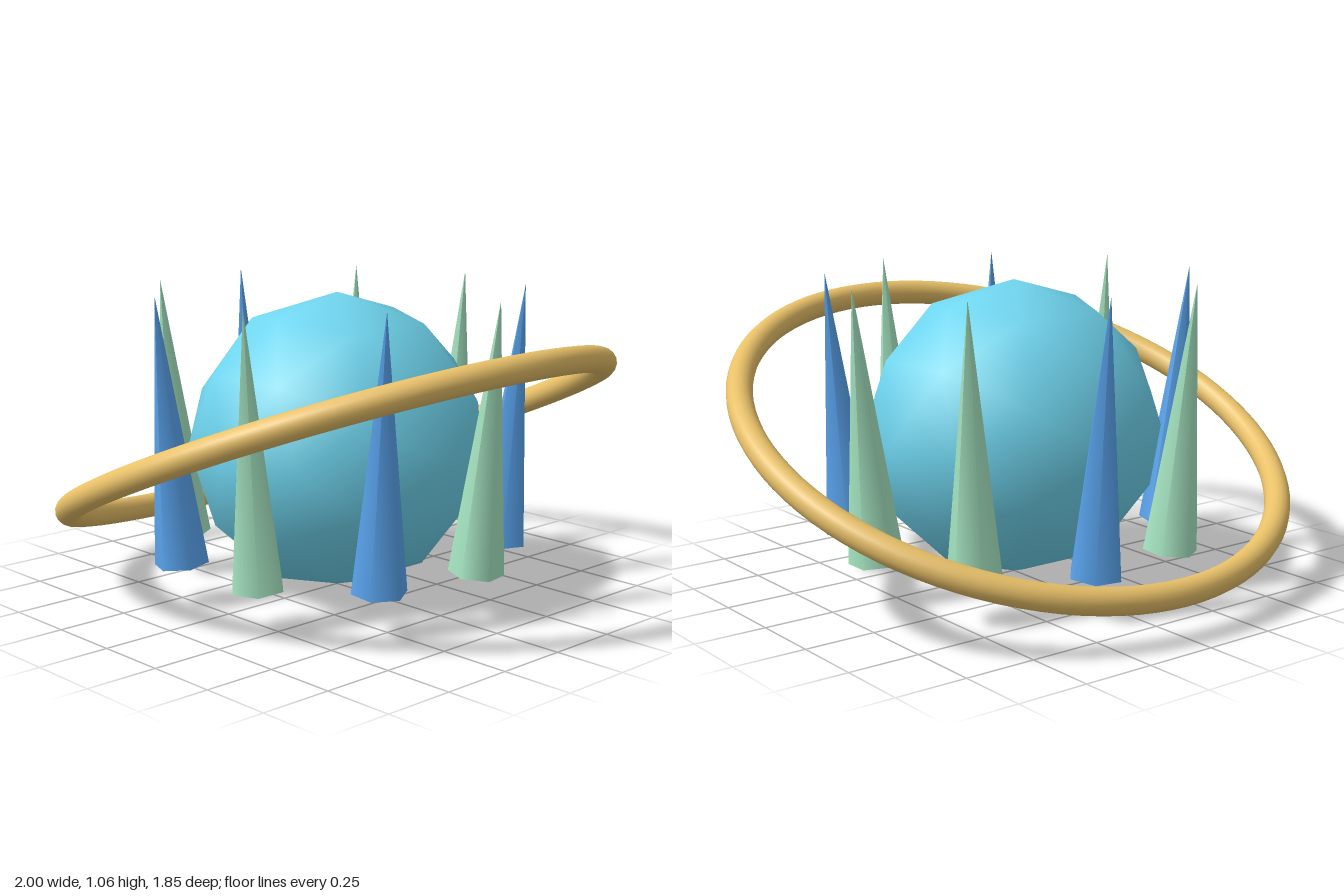
import * as THREE from 'three';

const CENTRE_Y = 0.52;
const SPIKES = 9;

function part(name, geometry, color) {
  const mesh = new THREE.Mesh(geometry, new THREE.MeshStandardMaterial({ color }));
  mesh.name = name;
  return mesh;
}

export function createModel() {
  const model = new THREE.Group();
  model.name = 'ringedOrb';

  // Faceted outline with smooth shading
  const orb = part('orb', new THREE.IcosahedronGeometry(0.52, 1), 0x70d6f0);
  orb.position.y = CENTRE_Y;
  model.add(orb);

  // Ring tipped up at the front
  const ring = part('ring', new THREE.TorusGeometry(0.955, 0.045, 16, 96), 0xe8c068);
  ring.position.y = CENTRE_Y;
  ring.rotation.x = Math.PI / 2 - 0.4;
  model.add(ring);

  // Circle of six-sided spikes leaning slightly outward, in alternating colours
  const spikes = new THREE.Group();
  spikes.name = 'spikes';
  const spikeGeometry = new THREE.ConeGeometry(0.094, 0.92, 6);
  for (let i = 0; i < SPIKES; i++) {
    const pivot = new THREE.Group();
    pivot.name = 'spikePivot' + (i + 1);
    pivot.rotation.y = (-i / SPIKES) * Math.PI * 2;
    const spike = part('spike' + (i + 1), spikeGeometry, i % 2 ? 0x5aa5f0 : 0xa8e8c4);
    spike.position.set(0.613, 0.602, 0);
    spike.rotation.z = -0.082;
    pivot.add(spike);
    spikes.add(pivot);
  }
  model.add(spikes);

  return model;
}
